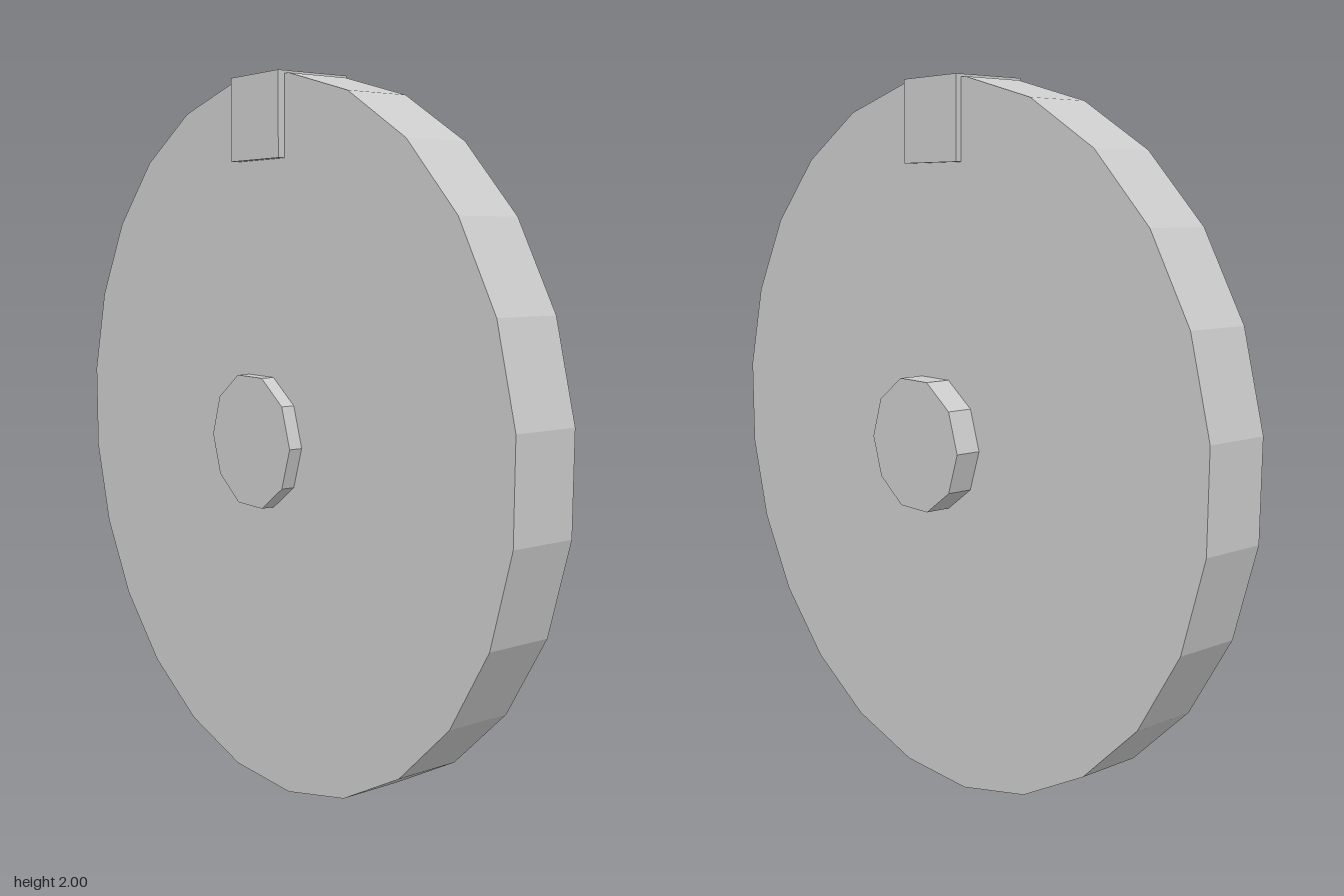
import * as THREE from 'three';

const material = new THREE.MeshStandardMaterial({ color: 0xcccccc, flatShading: true });
const CENTRE_Y = 0.996;

// Faceted disc lying across the x axis, from x0 to x1
function disc(name, radius, sides, x0, x1, turn) {
  const geometry = new THREE.CylinderGeometry(radius, radius, x1 - x0, sides);
  geometry.rotateY(turn).rotateZ(Math.PI / 2);
  const mesh = new THREE.Mesh(geometry, material);
  mesh.name = name;
  mesh.position.set((x0 + x1) / 2, CENTRE_Y, 0);
  return mesh;
}

export function createModel() {
  const model = new THREE.Group();
  model.name = 'wheel';

  // Main disc with a flat facet at the top, bottom, front and back
  const sides = 24;
  const radius = CENTRE_Y / Math.cos(Math.PI / sides);
  model.add(disc('mainDisc', radius, sides, -0.115, 0.075, Math.PI / sides));

  // Axle hub showing on both faces
  model.add(disc('hub', 0.192, 10, -0.155, 0.152, 0));

  // Block set into the rim at the top
  const block = new THREE.Mesh(new THREE.BoxGeometry(0.228, 0.228, 0.228), material);
  block.name = 'rimBlock';
  block.position.set(-0.022, 1.886, 0);
  model.add(block);

  return model;
}
